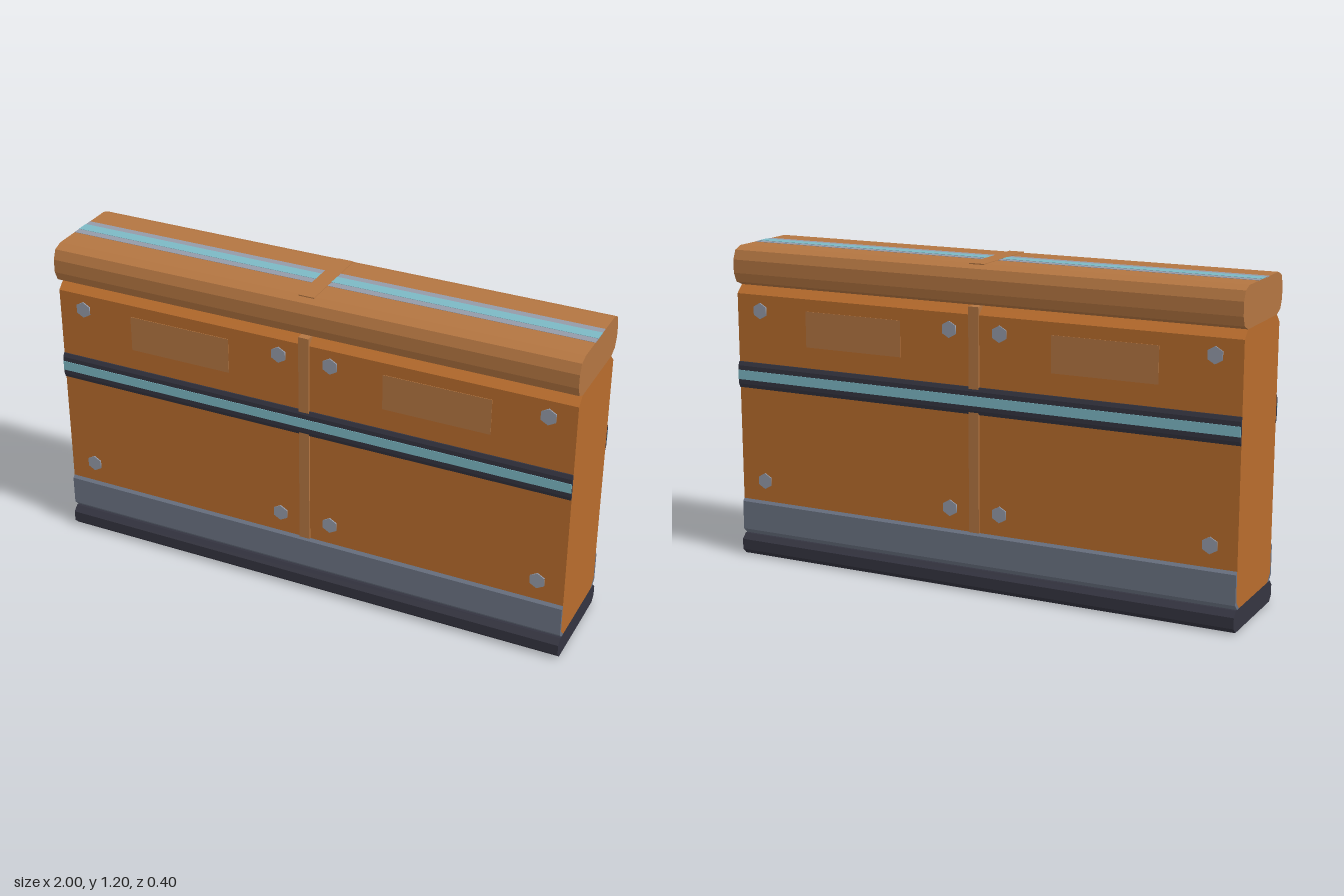
import * as THREE from 'three';

const mat = (name, color) => {
  const m = new THREE.MeshStandardMaterial({ color });
  m.name = name;
  return m;
};

export function createModel() {
  const orange = mat('orange panel', 0xb86c2c);
  const tan = mat('tan trim', 0xb37541);
  const steel = mat('blue grey steel', 0x6b7383);
  const dark = mat('dark rubber', 0x343440);
  const silver = mat('silver', 0x949aa8);
  const teal = mat('teal light', 0x7cb8c4);

  const model = new THREE.Group();
  model.name = 'barrier';

  const add = (parent, name, geometry, material) => {
    const mesh = new THREE.Mesh(geometry, material);
    mesh.name = name;
    parent.add(mesh);
    return mesh;
  };
  // Runs a [z, y] cross-section along the full length in x
  const run = (parent, name, points, material) => {
    const shape = new THREE.Shape(points.map(([z, y]) => new THREE.Vector2(-z, y)));
    const g = new THREE.ExtrudeGeometry(shape, { depth: 2, bevelEnabled: false });
    g.translate(0, 0, -1).rotateY(Math.PI / 2);
    return add(parent, name, g, material);
  };
  const box = (parent, name, size, pos, material) =>
    add(parent, name, new THREE.BoxGeometry(...size), material).position.set(...pos);
  // Completes a half cross-section with its mirror image
  const mirrored = (half) => [...half, ...half.map(([z, y]) => [-z, y]).reverse()];

  // Main stack: base, wall and rounded cap
  run(model, 'base', mirrored([[0.18, 0], [0.2, 0.02], [0.2, 0.06], [0.18, 0.08]]), dark);
  run(model, 'wall', mirrored([[0.15, 0.08], [0.18, 0.11], [0.18, 1.02], [0.15, 1.05]]), orange);
  run(model, 'cap', mirrored([[0.15, 1.05], [0.185, 1.065], [0.2, 1.1], [0.2, 1.15],
    [0.185, 1.185], [0.15, 1.198]]), tan);

  // Light strips on the cap, split by a centre plate
  box(model, 'capPlate', [0.06, 0.004, 0.32], [0, 1.198, 0], tan);
  for (const s of [-1, 1]) {
    box(model, 'capStrip', [0.97, 0.003, 0.106], [s * 0.515, 1.1975, 0], silver);
    box(model, 'capLight', [0.97, 0.004, 0.046], [s * 0.515, 1.198, 0], teal);
  }

  // Details repeated on both faces
  for (const turn of [0, Math.PI]) {
    const side = new THREE.Group();
    side.name = turn ? 'backFace' : 'frontFace';
    side.rotation.y = turn;
    model.add(side);

    run(side, 'kickPlate', [[0.15, 0.08], [0.17, 0.08], [0.19, 0.1], [0.19, 0.21],
      [0.18, 0.22], [0.18, 0.11]], steel);
    run(side, 'band', [[0.18, 0.66], [0.184, 0.66], [0.19, 0.675], [0.19, 0.745],
      [0.184, 0.76], [0.18, 0.76]], dark);
    box(side, 'bandLight', [2, 0.036, 0.003], [0, 0.71, 0.1905], teal);
    box(side, 'centreRib', [0.04, 0.83, 0.037], [0, 0.635, 0.1685], tan);

    for (const s of [-1, 1]) {
      box(side, 'labelPlate', [0.4, 0.135, 0.004], [s * 0.5, 0.907, 0.18], tan);
      for (const x of [0.1, 0.9]) for (const y of [0.3, 0.96]) {
        const g = new THREE.CylinderGeometry(0.031, 0.031, 0.01, 6).rotateX(Math.PI / 2);
        add(side, 'bolt', g, silver).position.set(s * x, y, 0.18);
      }
    }
  }
  return model;
}
